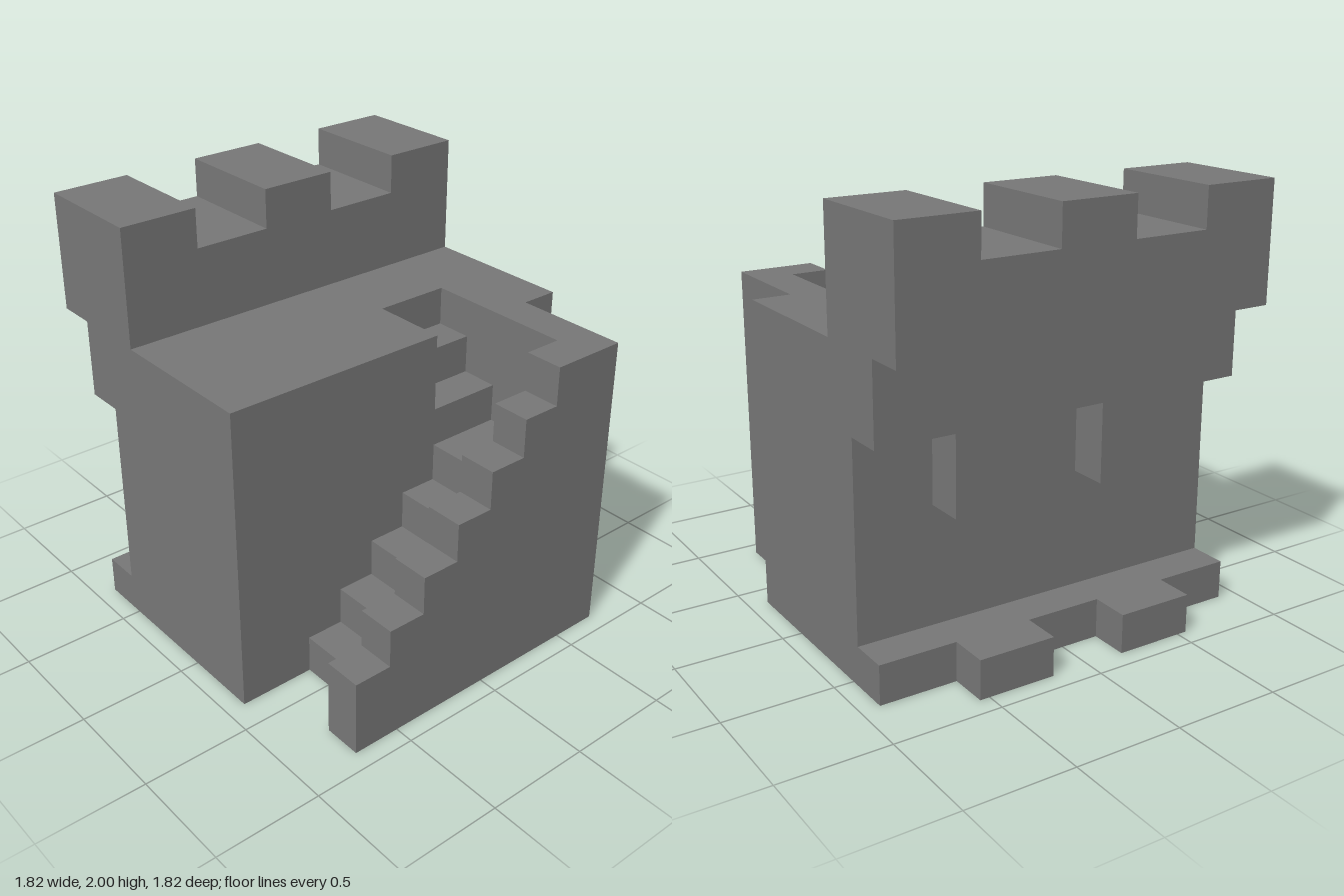
import * as THREE from 'three';

const U = 2 / 11; // one building block

export function createModel() {
  const model = new THREE.Group();
  model.name = 'castleGate';
  const stone = new THREE.MeshStandardMaterial({ color: 0x777777 });
  stone.name = 'stoneGrey';

  const extrude = (points, depth) => new THREE.ExtrudeGeometry(
    new THREE.Shape(points.map(([a, b]) => new THREE.Vector2(a, b))),
    { depth, bevelEnabled: false });

  const add = (name, geometry) => {
    geometry.scale(U, U, U);
    const mesh = new THREE.Mesh(geometry, stone);
    mesh.name = name;
    model.add(mesh);
  };

  // Outline in x, y, carried from z0 to z1
  const upright = (name, points, z0, z1) =>
    add(name, extrude(points, z1 - z0).translate(0, 0, z0));

  // Outline in x, z, carried from y0 to y1
  const plan = (name, points, y0, y1) =>
    add(name, extrude(points.map(([x, z]) => [x, -z]), y1 - y0)
      .rotateX(-Math.PI / 2).translate(0, y0, 0));

  const box = (name, x0, x1, y0, y1, z0, z1) =>
    upright(name, [[x0, y0], [x1, y0], [x1, y1], [x0, y1]], z0, z1);

  // Main wall, notched where the stair reaches the walkway
  plan('mainWall', [[-5, -3], [5, -3], [5, 2], [3, 2], [3, 0], [1, 0], [1, 2], [-5, 2]], 0, 8);
  box('upperStepLow', 1, 3, 0, 6, 1, 2);
  box('upperStepHigh', 1, 3, 0, 7, 0, 1);

  // Battlement with three merlons
  upright('battlement', [[-5, 8], [5, 8], [5, 11], [3, 11], [3, 10], [1, 10], [1, 11],
    [-1, 11], [-1, 10], [-3, 10], [-3, 11], [-5, 11]], -5, -2);

  // Corbel band with two hanging blocks at the back
  upright('corbels', [[-5, 8], [-5, 6], [-3, 6], [-3, 4], [-1, 4], [-1, 6],
    [1, 6], [1, 4], [3, 4], [3, 6], [5, 6], [5, 8]], -4, -3);

  // Plinth with two projecting blocks at the back
  plan('plinth', [[-5, -3], [-5, -4], [-3, -4], [-3, -5], [-1, -5], [-1, -4],
    [1, -4], [1, -5], [3, -5], [3, -4], [5, -4], [5, -3]], 0, 1);

  // Rising outline: count steps from x, first top at height y
  const rise = (x, y, count) => {
    const points = [[x, 0]];
    for (let i = 0; i < count; i++) points.push([x + i, y + i], [x + i + 1, y + i]);
    return points;
  };

  // Stair treads, landing and end pier
  upright('stair', [...rise(-3, 1, 5), [3, 5], [3, 8], [4, 8], [4, 0]], 2, 4);

  // Stepped parapet on the outer side of the stair
  upright('parapet', [...rise(-4, 2, 6), [2, 8], [4, 8], [4, 0]], 4, 5);

  return model;
}
